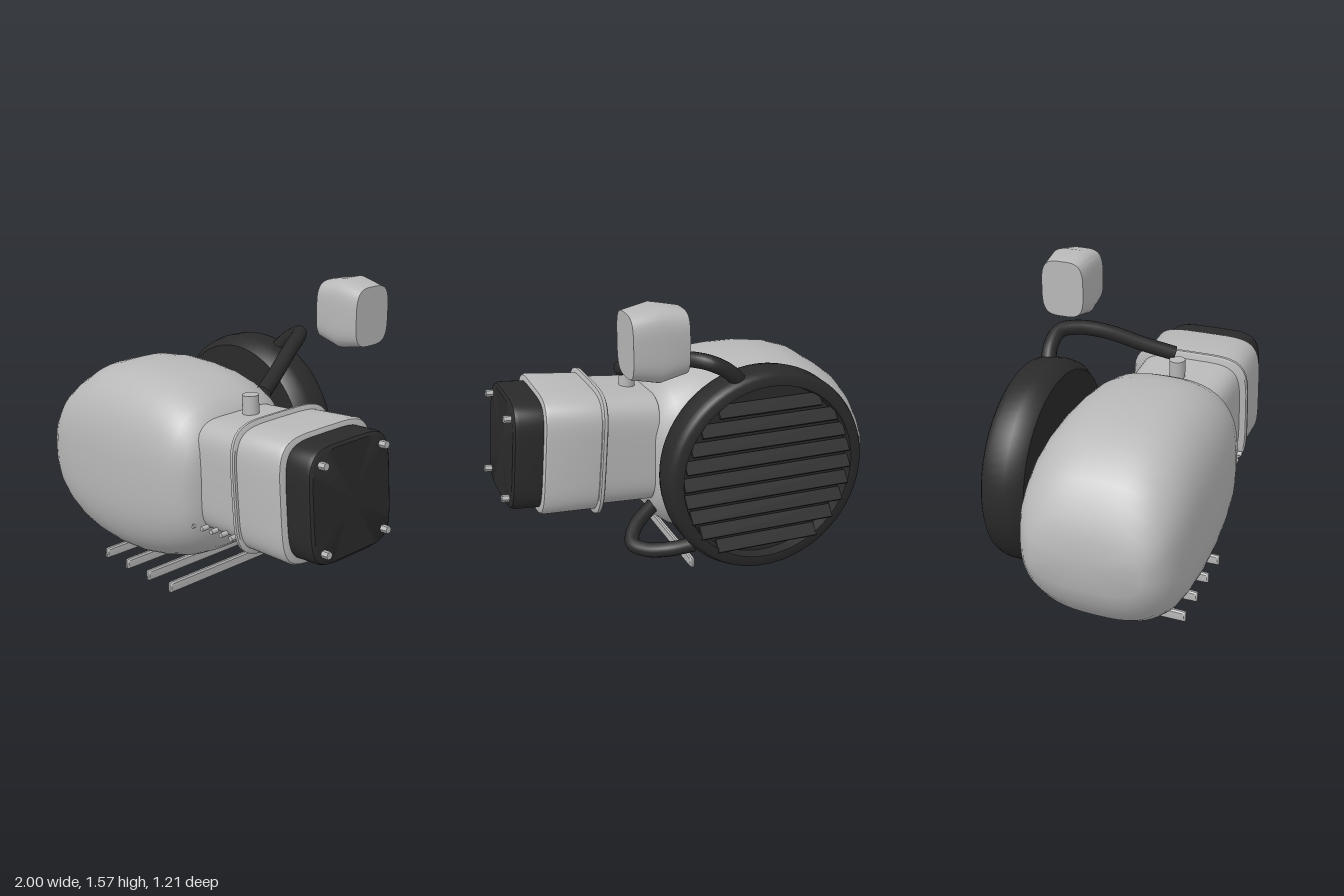
import * as THREE from 'three';
import { toCreasedNormals } from 'three/addons/utils/BufferGeometryUtils.js';

const silver = new THREE.MeshStandardMaterial({ color: 0xb8b8b8 });
silver.name = 'silver metal';
const black = new THREE.MeshStandardMaterial({ color: 0x2a2a2a });
black.name = 'black plastic';

// Closed loft along x; each section is [x, centreY, halfY, centreZ, halfZ], shaped as a superellipse of power n
function loft(sections, n, crease = 0.6, seg = 64) {
  const pos = [], idx = [];
  const soft = (v) => Math.sign(v) * Math.pow(Math.abs(v), 2 / n);
  for (const [x, cy, hy, cz, hz] of sections) {
    for (let j = 0; j < seg; j++) {
      const a = (j / seg) * Math.PI * 2;
      pos.push(x, cy + hy * soft(Math.sin(a)), cz + hz * soft(Math.cos(a)));
    }
  }
  const last = sections.length - 1;
  const c0 = pos.length / 3, c1 = c0 + 1;
  for (const s of [sections[0], sections[last]]) pos.push(s[0], s[1], s[3]);
  for (let j = 0; j < seg; j++) {
    const k = (j + 1) % seg;
    for (let i = 0; i < last; i++) {
      const a = i * seg + j, b = a + seg, c = i * seg + k, d = c + seg;
      idx.push(a, b, c, c, b, d);
    }
    idx.push(c0, j, k, c1, last * seg + k, last * seg + j);
  }
  const g = new THREE.BufferGeometry();
  g.setAttribute('position', new THREE.Float32BufferAttribute(pos, 3));
  g.setIndex(idx);
  return toCreasedNormals(g, crease);
}

function add(parent, name, geometry, material, x = 0, y = 0, z = 0) {
  const m = new THREE.Mesh(geometry, material);
  m.name = name;
  m.position.set(x, y, z);
  parent.add(m);
  return m;
}

const tube = (points, r) => {
  const path = new THREE.CatmullRomCurve3(points.map((p) => new THREE.Vector3(...p)));
  return new THREE.TubeGeometry(path, 40, r, 14, false);
};

export function createModel() {
  const model = new THREE.Group();
  model.name = 'engineUnit';

  // Main rounded tank: [x, bottom, top, halfZ]
  const body = [
    [-1, 0.41, 0.685, 0.28], [-0.965, 0.32, 0.77, 0.325], [-0.92, 0.25, 0.86, 0.36],
    [-0.87, 0.19, 0.925, 0.383], [-0.8, 0.14, 0.98, 0.402], [-0.7, 0.09, 1.045, 0.416],
    [-0.58, 0.063, 1.085, 0.424], [-0.42, 0.055, 1.108, 0.428], [-0.25, 0.072, 1.11, 0.426],
    [-0.1, 0.108, 1.1, 0.418], [0.02, 0.15, 1.075, 0.405], [0.11, 0.2, 1.035, 0.385],
    [0.17, 0.245, 0.985, 0.355], [0.21, 0.305, 0.92, 0.315], [0.235, 0.42, 0.8, 0.22],
  ].map(([x, lo, hi, hz]) => [x, (lo + hi) / 2, (hi - lo) / 2, 0.175, hz]);
  add(model, 'tankBody', loft(body, 2.75, 0.7), silver);

  // Slightly tilted cylinder head assembly
  const head = new THREE.Group();
  head.name = 'cylinderHead';
  head.position.set(0.5, 0.695, 0.165);
  head.rotation.z = 0.08;
  model.add(head);
  const block = (list) => loft(list.map(([x, hy, hz]) => [x, 0, hy, 0, hz]), 4.8);
  add(head, 'barrel', block([[-0.3, 0.29, 0.285], [0, 0.295, 0.29]]), silver);
  add(head, 'flange', block([[-0.014, 0.325, 0.325], [-0.008, 0.335, 0.332], [0.008, 0.335, 0.332], [0.014, 0.325, 0.325]]), silver);
  add(head, 'headBlock', block([[0, 0.312, 0.312], [0.28, 0.319, 0.315], [0.295, 0.312, 0.308], [0.3, 0.3, 0.296]]), silver);
  add(head, 'headCover', block([[0.29, 0.288, 0.275], [0.42, 0.288, 0.275], [0.44, 0.282, 0.269], [0.45, 0.268, 0.256]]), black);
  const boltGeo = new THREE.CylinderGeometry(0.019, 0.019, 0.04, 6).rotateZ(Math.PI / 2).toNonIndexed();
  boltGeo.computeVertexNormals();
  for (const y of [-0.21, 0.21]) for (const z of [-0.203, 0.203]) add(head, 'coverBolt', boltGeo, silver, 0.468, y, z);

  // Row of small studs along the barrel side
  const studGeo = new THREE.CylinderGeometry(0.013, 0.013, 0.04, 12).rotateX(Math.PI / 2);
  for (let i = 0; i < 5; i++) add(model, 'sideStud', studGeo, silver, 0.19 + i * 0.07, 0.433 + i * 0.007, 0.467);

  // Plug stub on top of the barrel
  add(model, 'plugStub', new THREE.CylinderGeometry(0.042, 0.042, 0.13, 24), silver, 0.267, 1.0, 0.165).rotation.z = 0.05;

  // Round starter housing with a recessed, louvred back
  const profile = [
    [0, 0.245], [0.49, 0.245], [0.525, 0.285], [0.535, 0.33], [0.533, 0.42],
    [0.52, 0.455], [0.505, 0.466], [0.462, 0.466], [0.452, 0.41], [0, 0.41],
  ].map((p) => new THREE.Vector2(...p));
  const housing = new THREE.LatheGeometry(profile, 64).rotateX(-Math.PI / 2);
  add(model, 'starterHousing', toCreasedNormals(housing, 0.7), black, -0.27, 0.632, 0);
  for (let i = -4; i <= 4; i++) {
    const dy = i * 0.0905;
    const len = 2 * Math.sqrt(0.455 ** 2 - dy * dy);
    const slat = add(model, 'louvreSlat', new THREE.BoxGeometry(len, 0.07, 0.018), black, -0.27, 0.627 + dy, -0.447);
    slat.rotation.x = 0.7;
  }

  // Hoses
  add(model, 'upperHose', tube([[-0.13, 1.11, -0.4], [-0.06, 1.18, -0.415], [0.03, 1.23, -0.405], [0.1, 1.235, -0.33],
    [0.17, 1.205, -0.2], [0.25, 1.13, -0.02], [0.315, 1.075, 0.13]], 0.039), black);
  add(model, 'lowerHose', tube([[0.1, 0.26, -0.37], [0.22, 0.24, -0.34], [0.32, 0.222, -0.27], [0.37, 0.23, -0.19],
    [0.32, 0.28, -0.1], [0.18, 0.35, -0.01]], 0.038), black);

  // Separate barrel-shaped cap above
  add(model, 'floatingCap', loft([[0.208, 1.39, 0.152, -0.47, 0.12], [0.345, 1.39, 0.181, -0.47, 0.136],
    [0.48, 1.39, 0.152, -0.47, 0.12]], 3.6, 0.7), silver);

  // Base bars running front to back
  for (let i = 0; i < 4; i++) {
    add(model, 'baseBar', loft([[-0.013, 0, 0.022, 0, 0.334], [-0.006, 0, 0.03, 0, 0.342], [0.006, 0, 0.03, 0, 0.342],
      [0.013, 0, 0.022, 0, 0.334]], 14), silver, -0.52 + i * 0.182, 0.035, 0.17);
  }

  // Small drain peg under the housing
  add(model, 'drainPeg', new THREE.CapsuleGeometry(0.018, 0.05, 6, 16), silver, -0.4, 0.088, -0.26);

  // Rest on the ground
  model.children.forEach((c) => { c.position.y -= 0.005; });
  return model;
}
